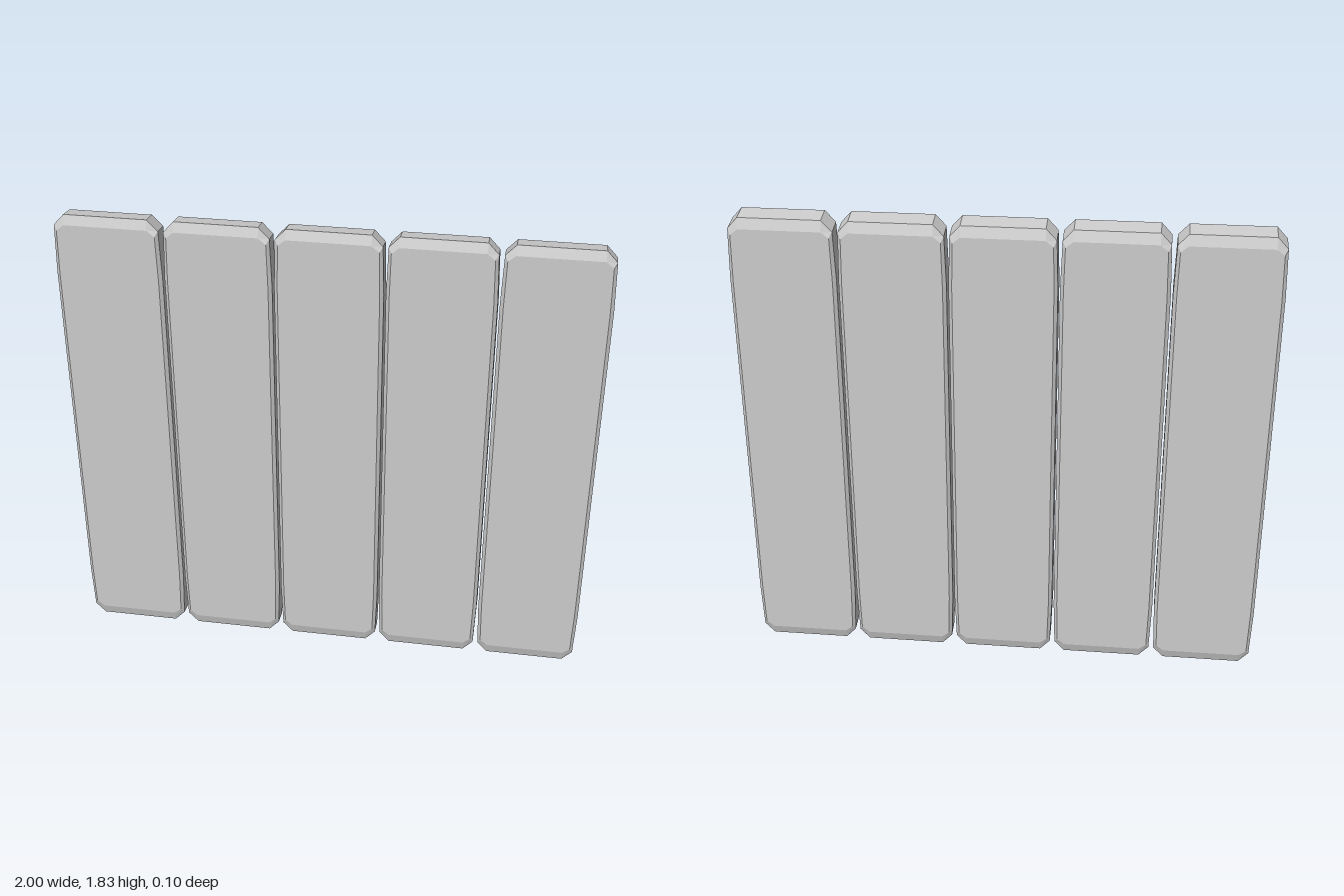
import * as THREE from 'three';

const PLANKS = 5, PITCH = 0.4015, MID = 0.915, SHEAR = 0.17;

// Quarter outline of a plank (x, y from its middle): bulging side, cut corner, end.
// rim = widest loop, face = inset loop bordering the flat front or back.
const RIM = [[0.197, 0.68], [0.191, 0.865], [0.152, 0.907]];
const FACE = [[0.184, 0.67], [0.180, 0.845], [0.152, 0.868]];

// Mirror a quarter into a closed counter-clockwise loop at depth z.
function loop(quarter, z) {
  const back = [...quarter].reverse();
  const points = [
    ...quarter,
    ...back.map(([x, y]) => [-x, y]),
    ...quarter.map(([x, y]) => [-x, -y]),
    ...back.map(([x, y]) => [x, -y]),
  ];
  // ends lean slightly: the front sits a little higher than the back
  return points.map(([x, y]) => new THREE.Vector3(x, MID + y + z * SHEAR, z));
}

function plankGeometry() {
  const loops = [loop(FACE, -0.048), loop(RIM, -0.037), loop(RIM, 0.037), loop(FACE, 0.048)];
  const n = loops[0].length;
  const tris = [];
  // bevels and sides between neighbouring loops
  for (let k = 0; k < loops.length - 1; k++) {
    const a = loops[k], b = loops[k + 1];
    for (let i = 0; i < n; i++) {
      const j = (i + 1) % n;
      tris.push(a[i], a[j], b[j], a[i], b[j], b[i]);
    }
  }
  // flat back and front
  const back = loops[0], front = loops[3];
  for (let i = 1; i < n - 1; i++) {
    tris.push(back[0], back[i + 1], back[i]);
    tris.push(front[0], front[i], front[i + 1]);
  }
  const geometry = new THREE.BufferGeometry().setFromPoints(tris);
  geometry.computeVertexNormals();
  return geometry;
}

export function createModel() {
  const model = new THREE.Group();
  model.name = 'plankPanel';
  const material = new THREE.MeshStandardMaterial({ color: 0xcccccc, flatShading: true });
  const geometry = plankGeometry();
  // row of equal upright planks
  for (let i = 0; i < PLANKS; i++) {
    const plank = new THREE.Mesh(geometry, material);
    plank.name = `plank${i + 1}`;
    plank.position.x = (i - (PLANKS - 1) / 2) * PITCH;
    model.add(plank);
  }
  return model;
}
